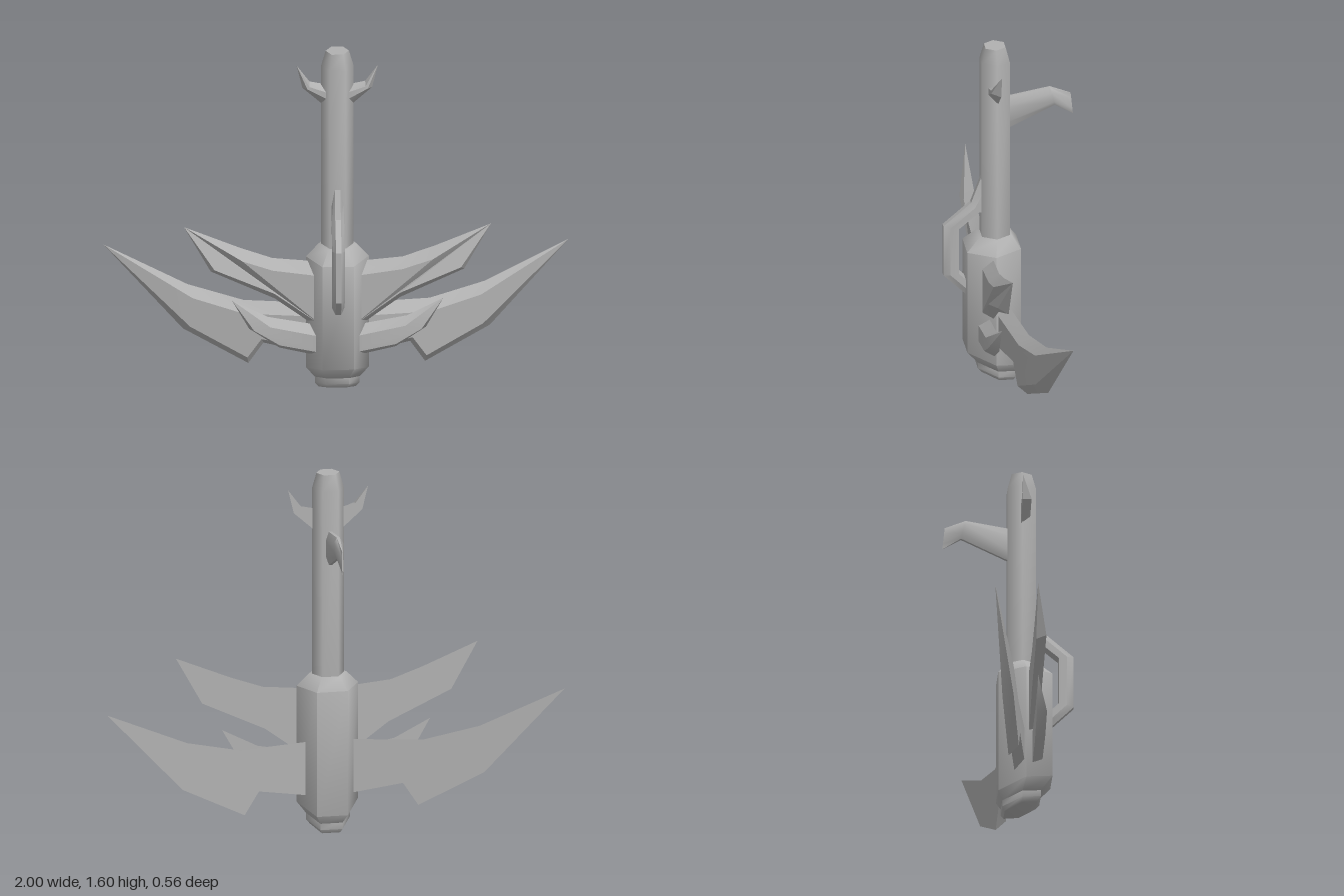
import * as THREE from 'three';
import { toCreasedNormals } from 'three/addons/utils/BufferGeometryUtils.js';

const metal = new THREE.MeshStandardMaterial({ color: 0xb0b0b0 });
metal.name = 'grey metal';

function meshFrom(name, points, faces, crease) {
  const geometry = new THREE.BufferGeometry();
  geometry.setAttribute('position', new THREE.Float32BufferAttribute(points.flat(), 3));
  geometry.setIndex(faces.flat());
  const mesh = new THREE.Mesh(toCreasedNormals(geometry, crease), metal);
  mesh.name = name;
  return mesh;
}

// Skin over a list of rings with equal point counts, closed at both ends
function loft(name, rings, crease) {
  const n = rings[0].length, last = (rings.length - 1) * n, faces = [];
  for (let r = 0; r < rings.length - 1; r++) {
    for (let i = 0; i < n; i++) {
      const a = r * n + i, b = r * n + (i + 1) % n;
      faces.push([a, b, b + n], [a, b + n, a + n]);
    }
  }
  for (let i = 1; i < n - 1; i++) {
    faces.push([0, i + 1, i], [last, last + i, last + i + 1]);
  }
  return meshFrom(name, rings.flat(), faces, crease);
}

// Six-sided ring around the upright axis; tilt raises its front edge
function hexRing(radius, y, z, tilt = 0) {
  return Array.from({ length: 6 }, (_, i) => {
    const a = i * Math.PI / 3, dz = -radius * Math.sin(a);
    return [radius * Math.cos(a), y + tilt * dz, z + dz];
  });
}

// Bar in the middle plane: each section is [zA, yA, zB, yB, width],
// the profile is [x, position between A and B]
function bar(name, sections, profile, crease) {
  const rings = sections.map(([zA, yA, zB, yB, w]) =>
    profile.map(([x, t]) => [x * w, yA + (yB - yA) * t, zA + (zB - zA) * t]));
  return loft(name, rings, crease);
}

// Blade with a flat back and a bevelled front; the tip has no thickness
function blade(name, side, { outer, inner, z, slope = 0, depth }) {
  const n = outer.length;
  const place = ([x, y], d) => [side * x, y, z + slope * x + d];
  const points = [
    ...outer.map(p => place(p, 0)),
    ...inner.map((p, i) => place(p, p[0] === outer[i][0] && p[1] === outer[i][1] ? 0 : depth)),
  ];
  const cut = list => THREE.ShapeUtils.triangulateShape(list.map(p => new THREE.Vector2(...p)), []);
  const faces = [];
  cut(inner).forEach(([a, b, c]) => faces.push([a + n, b + n, c + n]));
  cut(outer).forEach(([a, b, c]) => faces.push([a, c, b]));
  for (let i = 0; i < n; i++) {
    const j = (i + 1) % n;
    faces.push([i, j, j + n], [i, j + n, i + n]);
  }
  if (side < 0) faces.forEach(f => f.reverse());
  return meshFrom(name, points, faces, 0.45);
}

// Outlines run from the lower root round the tip to the upper root
const blades = {
  LargeBlade: {
    z: 0.04, slope: -0.165, depth: 0.045,
    outer: [[0.08, 0.165], [0.315, 0.21], [0.38, 0.11], [0.66, 0.256], [1, 0.63], [0.64, 0.465], [0.4, 0.405], [0.08, 0.41]],
    inner: [[0.08, 0.205], [0.325, 0.245], [0.385, 0.155], [0.63, 0.285], [1, 0.63], [0.62, 0.42], [0.4, 0.36], [0.08, 0.365]],
  },
  UpperBlade: {
    z: 0.085, depth: 0.045,
    outer: [[0.07, 0.31], [0.27, 0.46], [0.545, 0.59], [0.66, 0.8], [0.42, 0.7], [0.28, 0.65], [0.07, 0.63]],
    inner: [[0.07, 0.35], [0.27, 0.5], [0.53, 0.615], [0.66, 0.8], [0.41, 0.655], [0.28, 0.61], [0.07, 0.58]],
  },
  SmallBlade: {
    z: 0.1, depth: 0.045,
    outer: [[0.06, 0.19], [0.25, 0.235], [0.38, 0.325], [0.455, 0.46], [0.3, 0.38], [0.06, 0.335]],
    inner: [[0.06, 0.225], [0.25, 0.265], [0.36, 0.335], [0.455, 0.46], [0.29, 0.35], [0.06, 0.3]],
  },
  Thorn: {
    z: 0.055, depth: 0.04,
    outer: [[0.05, 1.345], [0.15, 1.435], [0.175, 1.54], [0.12, 1.465], [0.05, 1.45]],
    inner: [[0.05, 1.4], [0.13, 1.445], [0.175, 1.54], [0.12, 1.455], [0.05, 1.43]],
  },
};

export function createModel() {
  const model = new THREE.Group();
  model.name = 'bladedStaff';

  // Shaft with a tapered top
  model.add(loft('shaft', [
    hexRing(0.07, 0.62, 0.06), hexRing(0.07, 1.54, 0.06), hexRing(0.05, 1.61, 0.06),
  ], 1.1));

  // Thick housing with a sloping underside
  model.add(loft('housing', [
    hexRing(0.095, 0.077, 0.058, 0.33), hexRing(0.135, 0.128, 0.073, 0.33),
    hexRing(0.135, 0.65, 0.073), hexRing(0.082, 0.705, 0.063),
  ], 1.1));
  model.add(loft('endCap', [
    hexRing(0.08, 0.03, 0.055, 0.36), hexRing(0.096, 0.05, 0.058, 0.33), hexRing(0.096, 0.085, 0.058, 0.33),
  ], 1.1));

  // Front handle
  model.add(bar('frontHandle', [
    [0.11, 0.815, 0.11, 1.01, 1], [0.13, 0.82, 0.165, 0.86, 1], [0.22, 0.745, 0.285, 0.757, 1],
    [0.22, 0.53, 0.285, 0.52, 1], [0.17, 0.48, 0.17, 0.405, 1],
  ], [[0.027, 0], [0.027, 0.55], [0.012, 1], [-0.012, 1], [-0.027, 0.55], [-0.027, 0]], 0.5));

  // Rear hook
  model.add(bar('rearHook', [
    [0.02, 1.357, 0.02, 1.2, 1], [-0.18, 1.39, -0.2, 1.305, 1], [-0.27, 1.355, -0.28, 1.255, 0.15],
  ], [[0.007, 0], [0.02, 0.25], [0.02, 0.75], [0.007, 1], [-0.007, 1], [-0.02, 0.75], [-0.02, 0.25], [-0.007, 0]], 0.9));

  // Mirrored blades and thorns
  for (const [name, spec] of Object.entries(blades)) {
    model.add(blade('left' + name, 1, spec), blade('right' + name, -1, spec));
  }
  return model;
}
